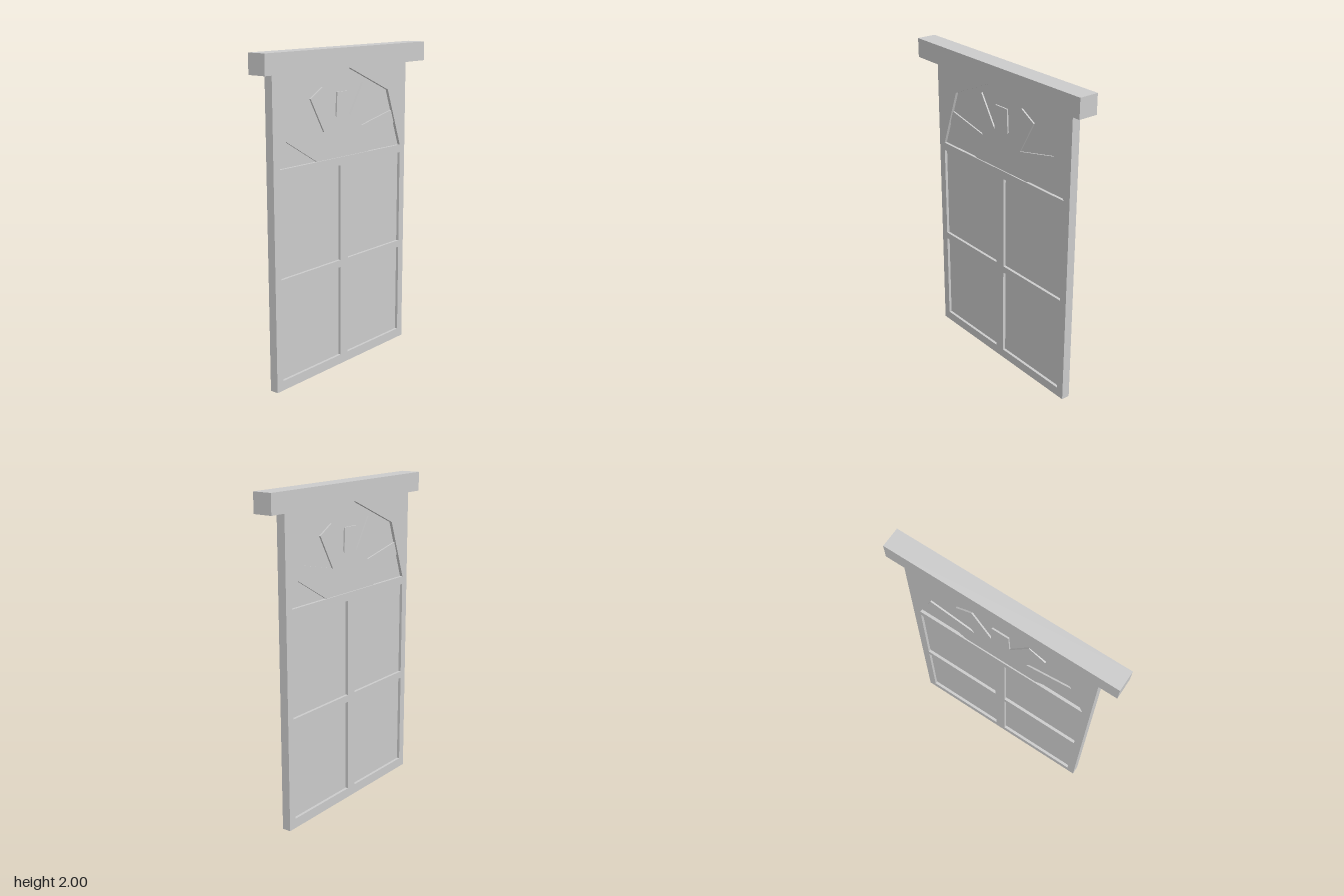
import * as THREE from 'three';

const material = new THREE.MeshStandardMaterial({ color: 0xcccccc, flatShading: true });

// Full outline from its right half, mirrored across x = 0
const mirrored = (half) => [...half, ...half.map(([x, y]) => [-x, y]).reverse()];
const toPoints = (list) => list.map(([x, y]) => new THREE.Vector2(x, y));
const rect = (x0, x1, y0, y1) => [[x0, y0], [x1, y0], [x1, y1], [x0, y1]];

// Flat slab between two depths, with optional cut-outs
function slab(name, outline, zBack, zFront, holes = []) {
  const shape = new THREE.Shape(toPoints(outline));
  for (const hole of holes) shape.holes.push(new THREE.Path(toPoints(hole)));
  const geometry = new THREE.ExtrudeGeometry(shape, { depth: zFront - zBack, bevelEnabled: false });
  geometry.translate(0, 0, zBack);
  const mesh = new THREE.Mesh(geometry, material);
  mesh.name = name;
  return mesh;
}

export function createModel() {
  const group = new THREE.Group();
  group.name = 'window';

  // Openings: four rectangular lights and a faceted arch
  const panes = [];
  for (const [y0, y1] of [[0.06, 0.645], [0.69, 1.29]]) {
    panes.push(rect(-0.565, -0.035, y0, y1), rect(0.035, 0.565, y0, y1));
  }
  const arch = mirrored([[0.565, 1.34], [0.43, 1.71], [0.035, 1.88]]);
  const openings = [...panes, arch];

  // Frame with the glazing bars left between the openings
  group.add(slab('frame', rect(-0.615, 0.615, 0, 1.9), -0.055, 0, openings));

  // Glass, recessed from both faces
  openings.forEach((outline, i) => {
    group.add(slab(i < 4 ? 'glassPane' : 'archGlass', outline, -0.037, -0.018));
  });

  // Sunburst of five rays, standing slightly proud of the arch glass
  const sunburst = mirrored([
    [0.24, 1.34], [0.505, 1.493], [0.475, 1.575], [0.175, 1.51],
    [0.292, 1.715], [0.185, 1.775], [0.062, 1.582], [0.054, 1.735],
  ]);
  group.add(slab('sunburst', sunburst, -0.047, -0.008));

  // Lintel across the top
  const lintel = new THREE.Mesh(new THREE.BoxGeometry(1.46, 0.12, 0.124), material);
  lintel.position.y = 1.94;
  lintel.name = 'lintel';
  group.add(lintel);

  return group;
}
